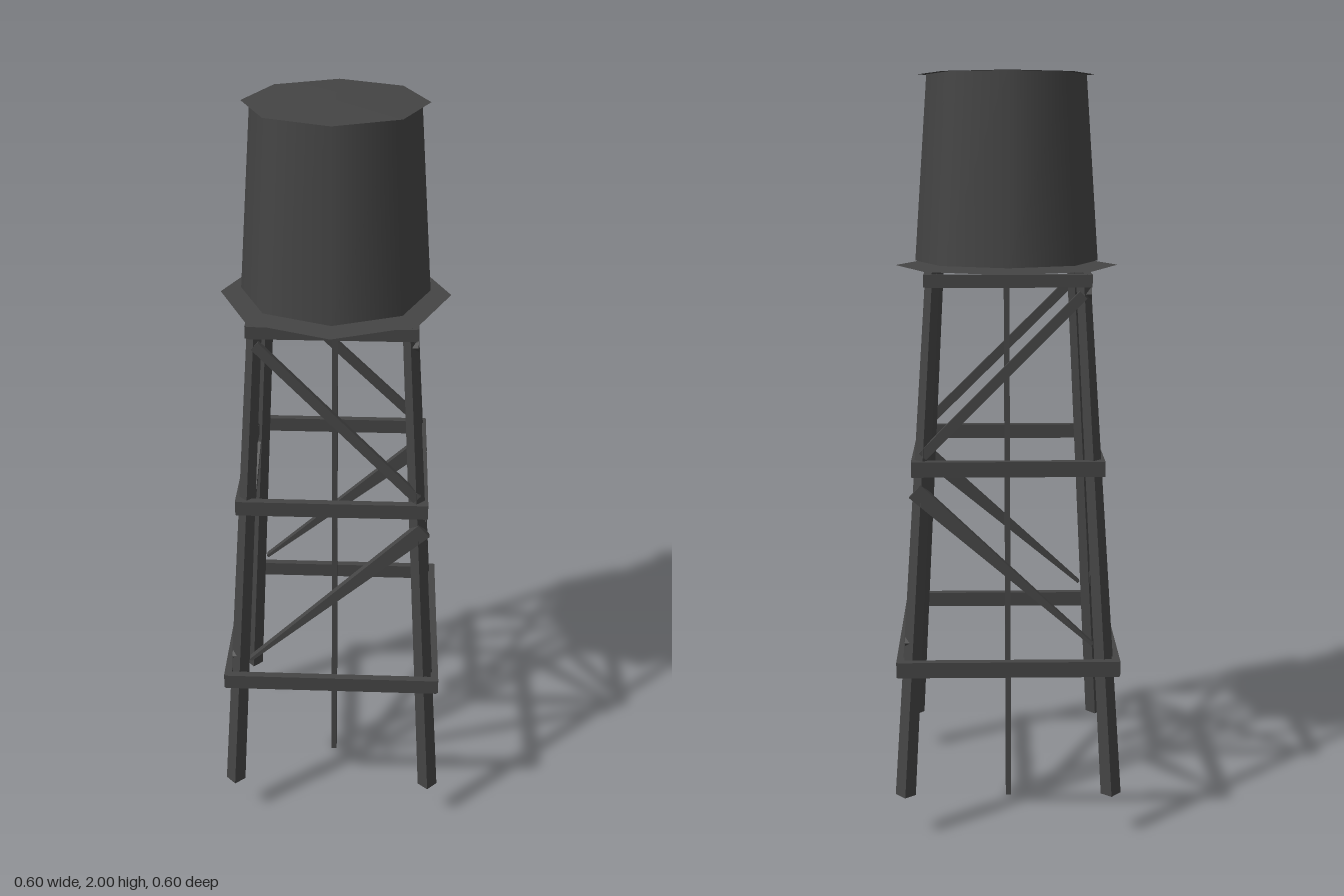
import * as THREE from 'three';

const V = (x, y, z) => new THREE.Vector3(x, y, z);
const iron = new THREE.MeshStandardMaterial({ color: 0x444444, side: THREE.DoubleSide });
iron.name = 'dark iron';

// Half width of the tower at height y, measured to the leg centres
const half = (y) => 0.275 - 0.0616 * (y - 0.12);

function add(group, name, geometry, y = 0) {
  const mesh = new THREE.Mesh(geometry, iron);
  mesh.name = name;
  mesh.position.y = y;
  group.add(mesh);
  return mesh;
}

// Flat-sided bar from a to b; width tapers w0 to w1, depth d0 to d1 along "out"
function bar(group, name, a, b, out, w0, w1, d0, d1 = d0) {
  const dir = b.clone().sub(a);
  const geometry = new THREE.BoxGeometry(1, dir.length(), 1);
  const p = geometry.attributes.position;
  for (let i = 0; i < p.count; i++) {
    const top = p.getY(i) > 0;
    p.setX(i, p.getX(i) * (top ? w1 : w0));
    p.setZ(i, p.getZ(i) * (top ? d1 : d0));
  }
  geometry.computeVertexNormals();
  dir.normalize();
  const side = dir.clone().cross(out).normalize();
  const face = side.clone().cross(dir);
  const mesh = add(group, name, geometry);
  mesh.quaternion.setFromRotationMatrix(new THREE.Matrix4().makeBasis(side, dir, face));
  mesh.position.copy(a).add(b).multiplyScalar(0.5);
}

export function createModel() {
  const model = new THREE.Group();
  model.name = 'waterTower';

  // Eight-sided tank with a thin overhanging roof, standing on a thin deck
  add(model, 'tank', new THREE.CylinderGeometry(0.207, 0.242, 0.476, 8, 1, true), 1.758);
  add(model, 'tankFloor', new THREE.CircleGeometry(0.242, 8).rotateX(Math.PI / 2), 1.52);
  add(model, 'roof', new THREE.ConeGeometry(0.228, 0.004, 8, 1, true), 1.998);
  add(model, 'deck', new THREE.CircleGeometry(0.295, 8).rotateX(-Math.PI / 2), 1.508);

  // Corner legs, turned diagonally
  for (const sx of [-1, 1]) for (const sz of [-1, 1]) {
    const at = (y) => V(sx * half(y), y, sz * half(y));
    bar(model, 'leg', at(0.12), at(1.5), V(sx, 0, sz), 0.038, 0.026, 0.038, 0.026);
  }

  // Central standpipe
  bar(model, 'standpipe', V(-0.005, 0, -0.025), V(0, 1.5, 0.025), V(1, 0, 0), 0.042, 0.008, 0.015);

  // Horizontal rings: height, offset, half length, beam height
  for (const [y, off, len, h] of [[0.48, 0.283, 0.29, 0.042], [1.008, 0.239, 0.247, 0.04], [1.485, 0.203, 0.208, 0.032]]) {
    for (const s of [-1, 1]) {
      bar(model, 'frontBackBeam', V(-len, y, s * off), V(len, y, s * off), V(0, 0, s), h, h, 0.02);
      bar(model, 'sideBeam', V(s * off, y, -len), V(s * off, y, len), V(s, 0, 0), h, h, 0.02);
    }
  }

  // One tapering diagonal brace per face and tier
  const reach = (y) => half(y) + 0.012;
  for (const s of [-1, 1]) {
    const f = (x, y) => V(x, y, s * reach(y));
    const r = (z, y) => V(s * reach(y), y, z);
    bar(model, 'lowerBrace', f(-0.22, 0.54), f(0.24, 0.95), V(0, 0, s), 0.008, 0.045, 0.02);
    bar(model, 'upperBrace', f(-0.19, 1.45), f(0.22, 1.04), V(0, 0, s), 0.026, 0.026, 0.015);
    bar(model, 'lowerSideBrace', r(s * 0.21, 0.96), r(-s * 0.25, 0.53), V(s, 0, 0), 0.012, 0.04, 0.02);
    bar(model, 'upperSideBrace', r(s * 0.2, 1.46), r(-s * 0.2, 1.04), V(s, 0, 0), 0.026, 0.012, 0.015);
  }
  return model;
}
